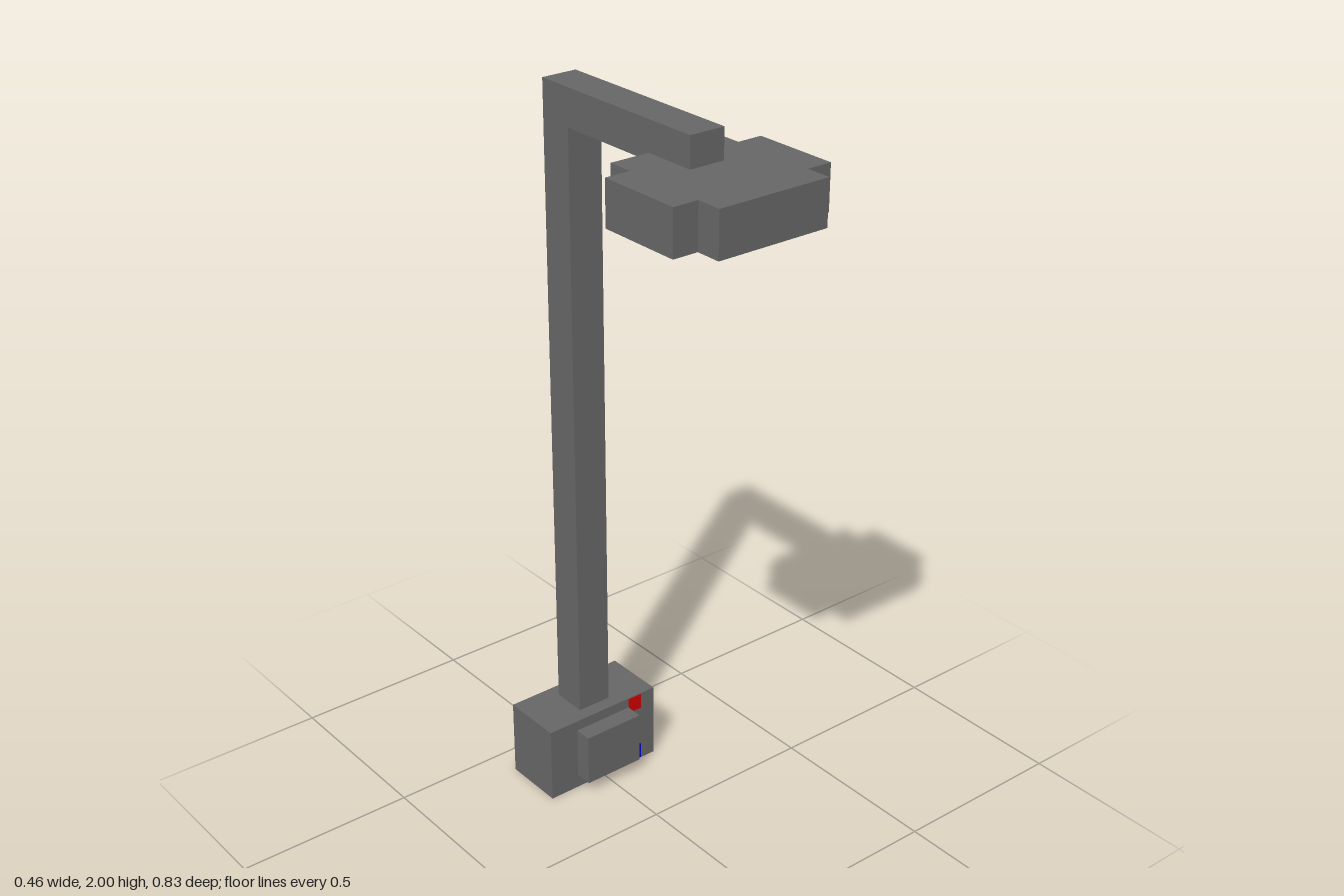
import * as THREE from 'three';

const material = (name, color) => {
  const m = new THREE.MeshStandardMaterial({ color });
  m.name = name;
  return m;
};

// Box given by its lower and upper limits on each axis
function block(name, mat, [x0, x1], [y0, y1], [z0, z1]) {
  const mesh = new THREE.Mesh(new THREE.BoxGeometry(x1 - x0, y1 - y0, z1 - z0), mat);
  mesh.position.set((x0 + x1) / 2, (y0 + y1) / 2, (z0 + z1) / 2);
  mesh.name = name;
  return mesh;
}

export function createModel() {
  const grey = material('grey metal', 0x666666);
  const red = material('hot red', 0xcc0000);
  const blue = material('cold blue', 0x0000cc);
  const model = new THREE.Group();
  model.name = 'shower';

  // Control box with its raised handle
  model.add(block('controlBox', grey, [-0.18, 0.18], [0, 0.22], [-0.415, -0.237]));
  model.add(block('handle', grey, [-0.09, 0.09], [0.04, 0.19], [-0.237, -0.187]));

  // Hot and cold markers beside the handle
  const markerZ = [-0.237, -0.234];
  model.add(block('hotMarker', red, [0.091, 0.132], [0.173, 0.218], markerZ));
  model.add(block('coldMarker', blue, [0.091, 0.132], [0.004, 0.05], markerZ));

  // Upright pipe and the arm reaching forward
  model.add(block('pipe', grey, [-0.05, 0.05], [0.22, 1.9], [-0.376, -0.276]));
  model.add(block('arm', grey, [-0.05, 0.05], [1.9, 2], [-0.376, 0.182]));

  // Head: square plate with notched corners
  const w = 0.23, n = 0.16, back = 0.034, front = 0.413, s = 0.07;
  const outline = [];
  for (const [x, z] of [
    [-n, back], [n, back], [n, back + s], [w, back + s], [w, front - s], [n, front - s],
    [n, front], [-n, front], [-n, front - s], [-w, front - s], [-w, back + s], [-n, back + s],
  ]) outline.push(new THREE.Vector2(x, -z));
  const geometry = new THREE.ExtrudeGeometry(new THREE.Shape(outline), { depth: 0.12, bevelEnabled: false });
  geometry.rotateX(-Math.PI / 2);
  const head = new THREE.Mesh(geometry, grey);
  head.position.y = 1.8;
  head.name = 'showerHead';
  model.add(head);

  return model;
}
